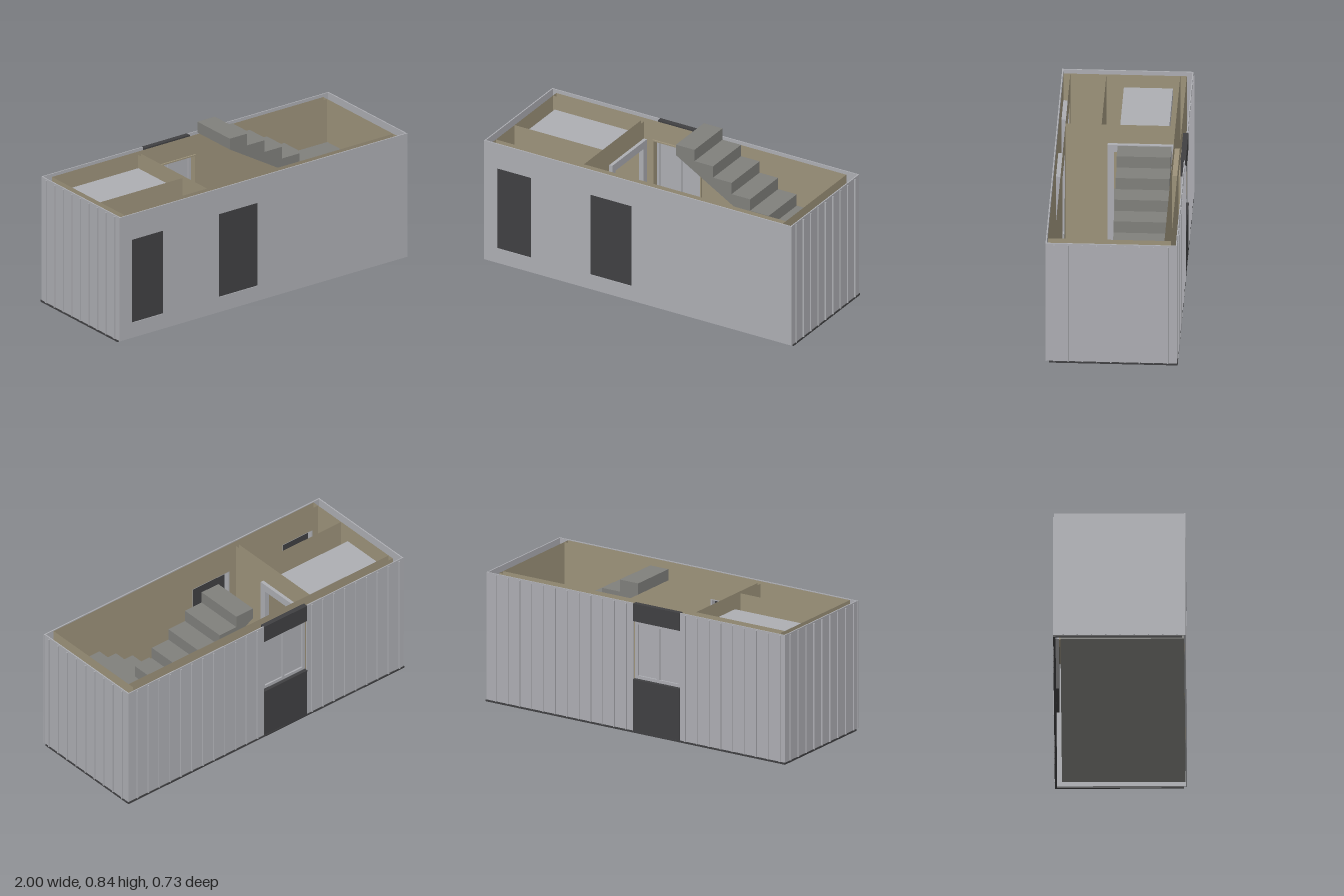
import * as THREE from 'three';

const mat = (name, color, side = THREE.FrontSide) => {
  const m = new THREE.MeshStandardMaterial({ color, side });
  m.name = name;
  return m;
};

export function createModel() {
  const cladding = mat('light grey cladding', 0xacadb2);
  const lining = mat('beige lining', 0x9c927a, THREE.DoubleSide);
  const concrete = mat('grey concrete', 0x7f7f7b);
  const dark = mat('charcoal', 0x404042);

  const model = new THREE.Group();
  model.name = 'smallHouse';

  const add = (name, geometry, material, parent = model) => {
    const mesh = new THREE.Mesh(geometry, material);
    mesh.name = name;
    parent.add(mesh);
    return mesh;
  };
  // Box given by its limits on each axis
  const box = (name, material, x0, x1, y0, y1, z0, z1, parent = model) => {
    const g = new THREE.BoxGeometry(x1 - x0, y1 - y0, z1 - z0);
    g.translate((x0 + x1) / 2, (y0 + y1) / 2, (z0 + z1) / 2);
    return add(name, g, material, parent);
  };
  const rect = (C, [a, b, c, d]) => {
    const s = new C();
    s.moveTo(a, c).lineTo(b, c).lineTo(b, d).lineTo(a, d).closePath();
    return s;
  };
  // Upright panel in the xy plane with rectangular holes [x0, x1, y0, y1]
  const panelGeometry = (outline, holes, z0, z1) => {
    const s = rect(THREE.Shape, outline);
    s.holes = holes.map(h => rect(THREE.Path, h));
    if (z1 === undefined) return new THREE.ShapeGeometry(s).translate(0, 0, z0);
    return new THREE.ExtrudeGeometry(s, { depth: z1 - z0, bevelEnabled: false }).translate(0, 0, z0);
  };

  const TOP = 0.753;
  const windows = [[-0.91, -0.69, 0.1, 0.6], [-0.31, -0.04, 0.1, 0.6]];
  const bay = [-0.295, 0.015, 0.31, 0.65];

  // Outer cladding
  add('frontCladding', panelGeometry([-0.995, 0.995, 0.01, TOP], windows, 0.36, 0.367), cladding);
  box('backCladdingRight', cladding, -0.992, bay[0], 0.01, TOP, -0.36, -0.354);
  box('backCladdingLeft', cladding, bay[1], 0.992, 0.01, TOP, -0.36, -0.354);
  for (const s of [-1, 1]) {
    const a = s * 0.985, b = s * 0.992;
    box('sideCladding', cladding, Math.min(a, b), Math.max(a, b), 0.01, TOP, -0.36, 0.36);
  }

  // Standing seams on the sides and back
  const seams = new THREE.Group();
  seams.name = 'claddingSeams';
  model.add(seams);
  for (let i = 0; i < 9; i++) {
    const z = 0.32 - i * 0.0787;
    for (const x of [-0.996, 0.996])
      box('sideSeam', cladding, x - 0.004, x + 0.004, 0.01, 0.745, z - 0.0035, z + 0.0035, seams);
  }
  for (let x = -0.96; x < 0.99; x += 0.0787) {
    if (x > bay[0] - 0.01 && x < bay[1] + 0.01) continue;
    box('backSeam', cladding, x - 0.0035, x + 0.0035, 0.01, 0.745, -0.367, -0.36, seams);
  }

  // Bottom rails under the cladding
  box('backRail', dark, -0.995, 0.995, 0, 0.01, -0.365, -0.352);
  for (const x of [-0.99, 0.99])
    box('sideRail', dark, x - 0.006, x + 0.006, 0, 0.01, -0.352, 0.348);

  // Floor slab
  box('floor', concrete, -0.945, 0.93, 0.01, 0.03, -0.325, 0.359);

  // Hollow inner walls
  const shell = new THREE.Group();
  shell.name = 'innerWalls';
  model.add(shell);
  const inner = [-0.945, 0.93, 0.03, 0.75];
  add('backWallOuterSkin', panelGeometry(inner, [bay], -0.325), lining, shell);
  add('backWallInnerSkin', panelGeometry(inner, [bay], -0.289), lining, shell);
  add('frontWallInnerSkin', panelGeometry(inner, windows, 0.32), lining, shell);
  add('frontWallOuterSkin', panelGeometry(inner, windows, 0.357), lining, shell);
  for (const x of [-0.945, 0.93]) {
    const g = new THREE.PlaneGeometry(0.682, 0.72).rotateY(Math.PI / 2).translate(x, 0.39, 0.016);
    add('endWall', g, lining, shell);
  }

  // Partition with a doorway, and the cross wall
  const door = [-0.07, 0.27, 0.03, 0.63];
  for (const x of [-0.376, -0.355]) {
    const g = panelGeometry([-0.32, 0.289, 0.03, 0.75], [door], 0).rotateY(Math.PI / 2).translate(x, 0, 0);
    add('partitionSkin', g, lining, shell);
  }
  add('crossWall', panelGeometry([-0.945, -0.376, 0.03, 0.75], [], 0.12), lining, shell);
  const doorFrame = panelGeometry([-0.085, 0.285, 0.03, 0.645], [[-0.05, 0.25, 0.031, 0.6]], 0, 0.03);
  add('doorFrame', doorFrame.rotateY(Math.PI / 2).translate(-0.365, 0, 0), cladding);

  // Raised bed
  box('raisedBed', cladding, -0.91, -0.405, 0.63, 0.69, -0.25, 0.022);

  // Front windows: frame and dark pane
  for (const [a, b, c, d] of windows) {
    const frame = panelGeometry([a, b, c, d], [[a + 0.008, b - 0.008, c + 0.008, d - 0.008]], 0.325, 0.364);
    add('frontWindowFrame', frame, cladding);
    box('frontWindowPane', dark, a + 0.002, b - 0.002, c + 0.002, d - 0.002, 0.356, 0.3645);
  }

  // Back window bay: dark panels, reveal, frame and sliding panes
  const [a, b, c, d] = bay;
  box('bayUpperPanel', dark, a, b, d, TOP, -0.364, -0.335);
  box('bayLowerPanel', dark, a, b, 0.01, c, -0.364, -0.335);
  box('baySill', dark, a, b, c - 0.006, c + 0.002, -0.367, -0.335);
  add('bayReveal', panelGeometry([a - 0.003, b + 0.003, c - 0.003, d + 0.003],
    [[a + 0.004, b - 0.004, c + 0.004, d - 0.004]], -0.335, -0.28), lining);
  const mid = (a + b) / 2;
  add('bayWindowFrame', panelGeometry([a, b, c, d],
    [[a + 0.02, mid - 0.008, c + 0.02, d - 0.02], [mid + 0.008, b - 0.02, c + 0.02, d - 0.02]],
    -0.345, -0.318), cladding);
  box('bayPane', cladding, a + 0.01, b - 0.01, c + 0.01, d - 0.01, -0.335, -0.329);

  // Two-flight stair with sloping underside
  const stairs = new THREE.Group();
  stairs.name = 'stairs';
  model.add(stairs);
  const rise = 0.0704, run = 0.12, x0 = 0.032, x1 = x0 + 5 * run;
  const flight = (name, first, dir, z0, z1) => {
    const s = new THREE.Shape();
    const drop = 0.065;
    s.moveTo(x0, Math.max(0.03, first - drop));
    for (let i = 0; i < 5; i++) {
      const y = first + dir * i * rise;
      s.lineTo(x0 + i * run, y);
      s.lineTo(x0 + (i + 1) * run, y);
    }
    s.lineTo(x1, first + dir * 5 * rise - drop);
    s.closePath();
    const g = new THREE.ExtrudeGeometry(s, { depth: z1 - z0, bevelEnabled: false }).translate(0, 0, z0);
    add(name, g, concrete, stairs);
  };
  flight('upperFlight', rise * 12, -1, -0.287, 0.012);
  flight('lowerFlight', rise * 2, 1, 0.052, 0.35);
  box('landing', concrete, x1, 0.929, rise * 6, rise * 7, -0.287, 0.35, stairs);

  return model;
}
